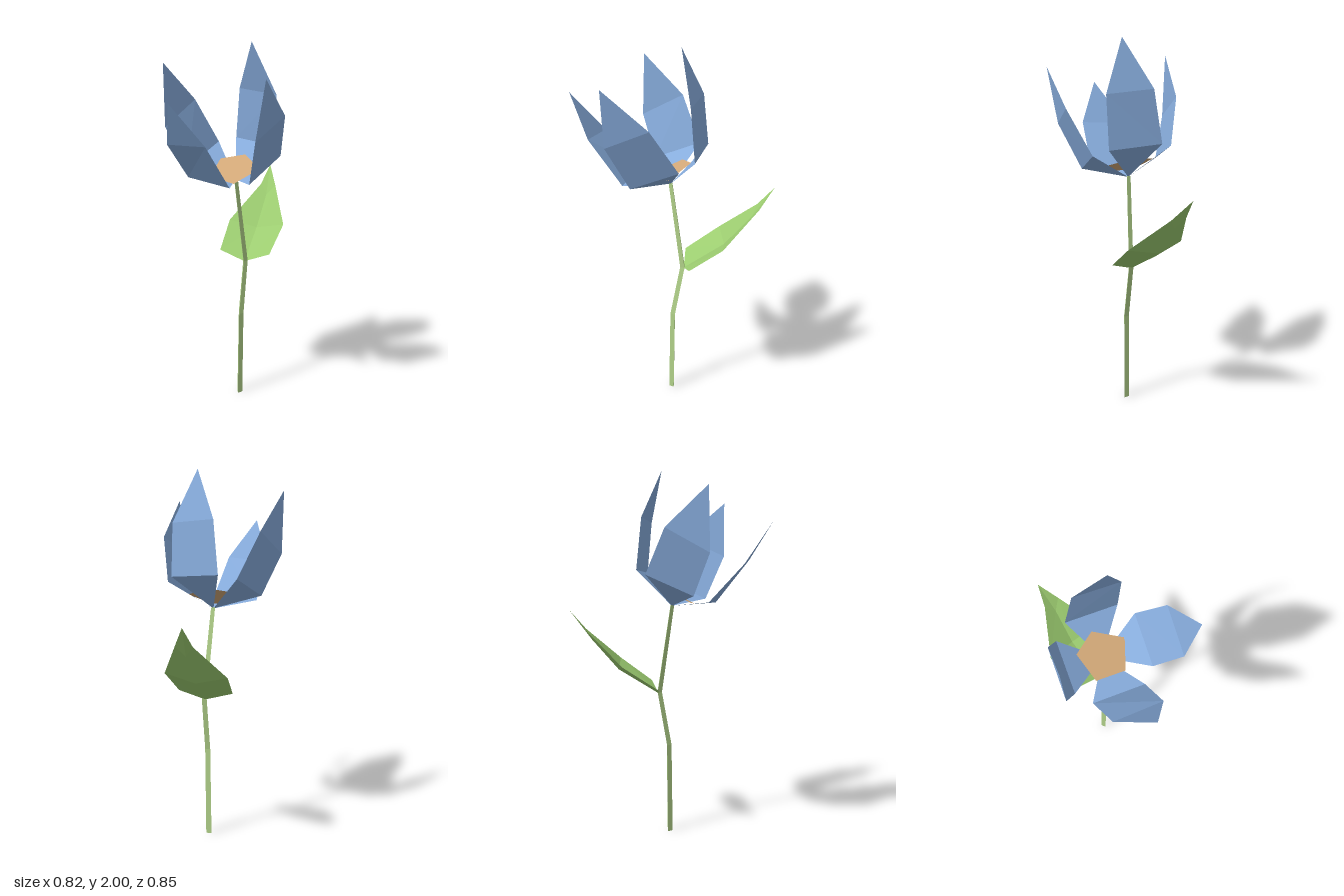
import * as THREE from 'three';

const mat = (name, color) => {
  const m = new THREE.MeshStandardMaterial({ color, flatShading: true, side: THREE.DoubleSide });
  m.name = name;
  return m;
};

// Skins consecutive cross-section rows; a one-point row closes to a tip
function loft(rows, closed = false) {
  const pos = [];
  const tri = (a, b, c) => pos.push(...a, ...b, ...c);
  for (let r = 0; r + 1 < rows.length; r++) {
    const p = rows[r], q = rows[r + 1];
    const n = Math.max(p.length, q.length);
    const at = (row, i) => (row.length === 1 ? row[0] : row[i % row.length]);
    for (let i = 0; i < (closed ? n : n - 1); i++) {
      if (p.length > 1) tri(at(p, i), at(p, i + 1), at(q, i + 1));
      if (q.length > 1) tri(at(p, i), at(q, i + 1), at(q, i));
    }
  }
  const g = new THREE.BufferGeometry();
  g.setAttribute('position', new THREE.Float32BufferAttribute(pos, 3));
  g.computeVertexNormals();
  return g;
}

export function createModel() {
  const model = new THREE.Group();
  model.name = 'flower';
  const petalBlue = mat('petal blue', 0x87acdc);
  const leafGreen = mat('leaf green', 0x9ccc70);
  const stemGreen = mat('stem green', 0xb2d28a);
  const centreTan = mat('centre tan', 0xd2a878);
  const add = (name, geometry, material) => {
    const mesh = new THREE.Mesh(geometry, material);
    mesh.name = name;
    model.add(mesh);
  };

  // Three-sided bent stem: x, y, z, radius
  const path = [
    [0.062, 0, -0.015, 0.018],
    [0.068, 0.5, -0.015, 0.017],
    [0.106, 0.8, -0.05, 0.016],
    [0.037, 1.285, -0.02, 0.013],
  ];
  const rings = path.map(([x, y, z, r]) => [255, 135, 15].map((deg) => {
    const a = THREE.MathUtils.degToRad(deg);
    return [x + r * Math.cos(a), y, z + r * Math.sin(a)];
  }));
  const centreOf = ([x, y, z]) => [[x, y, z]];
  add('stem', loft([centreOf(path[0]), ...rings, centreOf(path[3])], true), stemGreen);

  // Folded leaf: rows of left edge, keel, right edge, ending in a tip
  add('leaf', loft([
    [[0.0, 0.84, -0.17], [0.105, 0.795, -0.055], [0.225, 0.845, 0.02]],
    [[0.113, 0.968, -0.322], [0.245, 0.935, -0.224], [0.358, 0.975, -0.095]],
    [[0.333, 1.155, -0.38], [0.345, 1.1, -0.325], [0.4, 1.155, -0.318]],
    [[0.41, 1.26, -0.423]],
  ]), leafGreen);

  // Petals: lower pair, upper pair and tip, all rooted at the stem top
  const root = [[0.037, 1.28, -0.02]];
  const petals = {
    frontRightPetal: [
      [[-0.225, 1.31, -0.028], [-0.08, 1.292, 0.215]],
      [[-0.366, 1.51, 0.09], [-0.236, 1.525, 0.309]],
      [[-0.41, 1.737, 0.288]],
    ],
    backRightPetal: [
      [[-0.2, 1.345, -0.12], [0.02, 1.453, -0.245]],
      [[-0.316, 1.565, -0.133], [-0.115, 1.69, -0.245]],
      [[-0.316, 1.895, -0.145]],
    ],
    backLeftPetal: [
      [[0.113, 1.475, -0.216], [0.259, 1.454, 0.025]],
      [[0.116, 1.75, -0.172], [0.242, 1.73, 0.042]],
      [[0.12, 2.0, -0.008]],
    ],
    frontLeftPetal: [
      [[0.24, 1.42, 0.115], [0.015, 1.308, 0.242]],
      [[0.194, 1.65, 0.266], [-0.009, 1.545, 0.379]],
      [[0.025, 1.845, 0.422]],
    ],
  };
  for (const [name, rows] of Object.entries(petals)) add(name, loft([root, ...rows]), petalBlue);

  // Tilted five-sided flower centre
  const outline = [[-0.103, -0.03], [-0.02, 0.108], [0.133, 0.082], [0.119, -0.086], [-0.005, -0.143]];
  const tilt = ([x, z]) => [x, 1.33 + 0.35 * x - 0.33 * z, z];
  add('flowerCentre', loft([[tilt([0.025, -0.014])], outline.map(tilt)], true), centreTan);

  return model;
}
